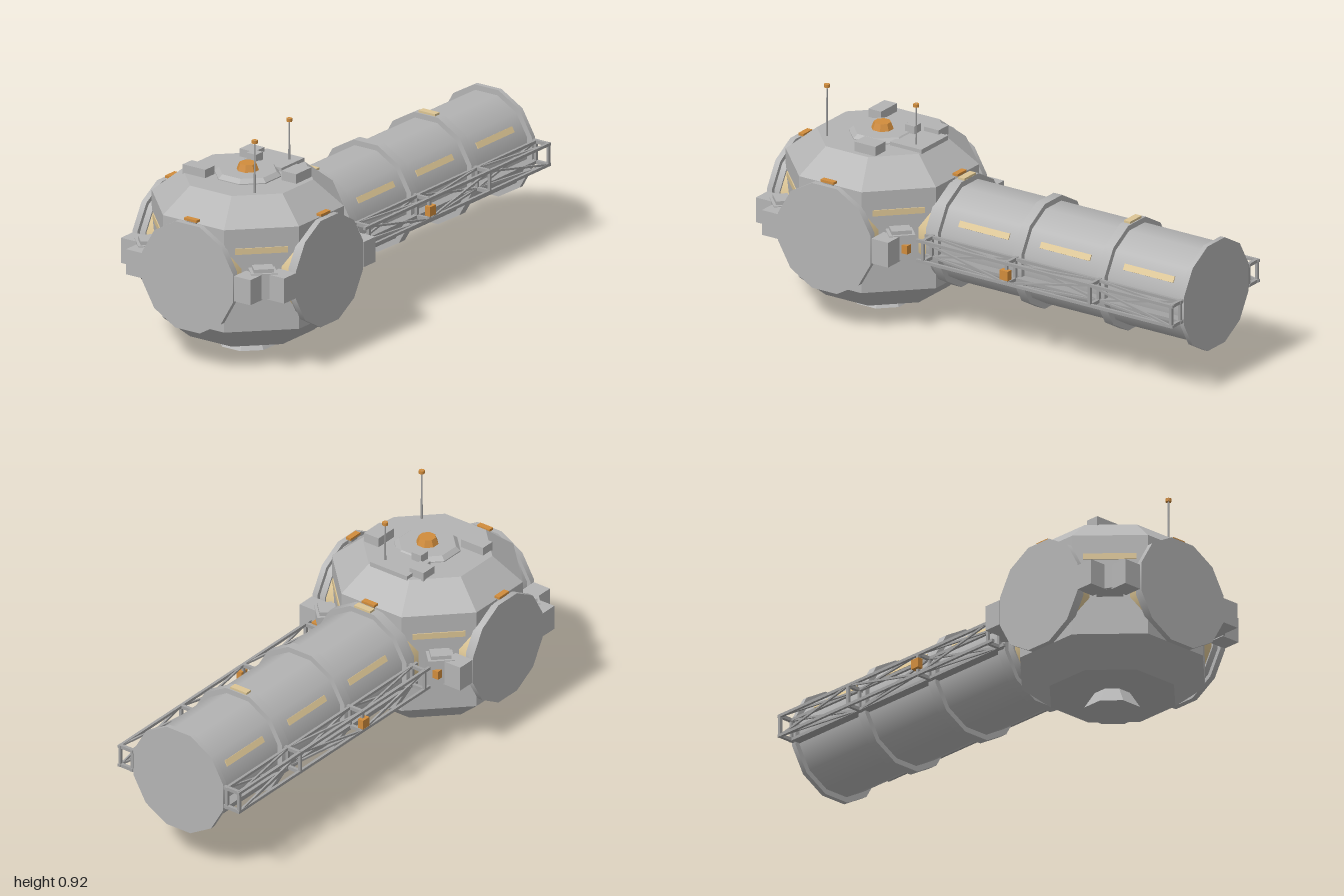
import * as THREE from 'three';

const paint = (name, hex) => {
  const m = new THREE.MeshStandardMaterial({ color: hex });
  m.name = name;
  return m;
};

export function createModel() {
  const hull = paint('hull grey', 0xb4b4b4);
  const trim = paint('trim grey', 0xa2a2a2);
  const amber = paint('amber', 0xd08c3c);
  const glow = paint('pale window', 0xdcc594);

  const model = new THREE.Group();
  model.name = 'stationModule';
  const AXIS = 0.383, HUB_Z = 0.6;

  const add = (name, geo, mat, x = 0, y = 0, z = 0, parent = model) => {
    const mesh = new THREE.Mesh(geo, mat);
    mesh.name = name;
    mesh.position.set(x, y, z);
    parent.add(mesh);
    return mesh;
  };
  const box = (name, mat, w, h, d, x, y, z, parent) =>
    add(name, new THREE.BoxGeometry(w, h, d), mat, x, y, z, parent);
  // box given by its lower and upper corners
  const span = (name, mat, a, b, parent) =>
    box(name, mat, b[0] - a[0], b[1] - a[1], b[2] - a[2],
      (a[0] + b[0]) / 2, (a[1] + b[1]) / 2, (a[2] + b[2]) / 2, parent);
  // faceted octagonal solid; profile radii are measured to the flats
  const octagon = (name, mat, profile, z = HUB_Z) => {
    const pts = profile.map(([r, y]) => new THREE.Vector2(r / Math.cos(Math.PI / 8), y));
    const geo = new THREE.LatheGeometry(pts, 8, Math.PI / 8).toNonIndexed();
    geo.computeVertexNormals();
    return add(name, geo, mat, 0, 0, z);
  };
  // twelve-sided drum lying along z, flats facing up and sideways
  const drum = (name, mat, r, z0, z1, parent, y = 0) => {
    const geo = new THREE.CylinderGeometry(r, r, Math.abs(z1 - z0), 12, 1, false, Math.PI / 12);
    geo.rotateX(Math.PI / 2);
    return add(name, geo, mat, 0, y, (z0 + z1) / 2, parent);
  };
  // square bar between two points
  const beam = (name, mat, a, b, t, parent) => {
    const p = new THREE.Vector3(...a), q = new THREE.Vector3(...b);
    const mesh = box(name, mat, t, t, p.distanceTo(q), 0, 0, 0, parent);
    mesh.position.copy(p).add(q).multiplyScalar(0.5);
    mesh.lookAt(q);
    return mesh;
  };

  // Hub, engine bell and roof
  octagon('hub', hull, [[0, 0.07], [0.245, 0.07], [0.36, 0.172], [0.36, 0.6], [0.245, 0.7], [0, 0.7]]);
  octagon('engineBell', hull, [[0, 0], [0.11, 0], [0.068, 0.072], [0, 0.072]]);
  octagon('roofPlatform', hull, [[0, 0.7], [0.125, 0.7], [0.125, 0.704], [0.108, 0.72], [0, 0.72]]);
  octagon('beacon', amber, [[0, 0.72], [0.042, 0.72], [0.032, 0.748], [0, 0.748]]);
  span('roofHatch', hull, [-0.093, 0.695, 0.35], [0.092, 0.715, 0.5]);
  span('roofBox', hull, [-0.215, 0.695, 0.68], [-0.105, 0.735, 0.74]);
  span('roofBox', hull, [0.15, 0.695, 0.48], [0.222, 0.74, 0.58]);
  span('roofBox', hull, [-0.147, 0.695, 0.385], [-0.078, 0.733, 0.455]);
  span('roofBox', hull, [-0.072, 0.7, 0.465], [-0.026, 0.748, 0.51]);

  // Antennas
  for (const [x, z, top] of [[0.055, 0.4, 0.887], [0.152, 0.76, 0.92]]) {
    add('antennaMast', new THREE.CylinderGeometry(0.003, 0.0045, top - 0.7, 6), trim, x, (top + 0.7) / 2, z);
    add('antennaTip', new THREE.CylinderGeometry(0.012, 0.012, 0.013, 8), amber, x, top - 0.0065, z);
  }

  // Docking ports on four sides; the back one carries the corridor
  for (let i = 0; i < 4; i++) {
    const port = new THREE.Group();
    port.name = 'dockingPort';
    port.position.set(0, AXIS, HUB_Z);
    port.rotation.y = i * Math.PI / 2;
    model.add(port);
    drum('portCollar', glow, 0.205, 0.26, 0.35, port);
    drum('portNeck', hull, 0.212, 0.35, 0.378, port);
    if (i !== 2) drum('portFlange', hull, 0.23, 0.376, 0.4, port);
    box('portMarker', amber, 0.062, 0.01, 0.024, 0, 0.233, 0.37, port);
    box('markerFoot', trim, 0.04, 0.03, 0.015, 0, 0.214, 0.37, port);
  }

  // Diagonal corners: window strip and equipment block
  for (let i = 0; i < 4; i++) {
    const corner = new THREE.Group();
    corner.name = 'hubCorner';
    corner.position.set(0, 0, HUB_Z);
    corner.rotation.y = Math.PI / 4 + i * Math.PI / 2;
    model.add(corner);
    box('cornerWindow', glow, 0.21, 0.025, 0.006, 0, 0.508, 0.361, corner);
    box('cornerBlock', hull, 0.105, 0.105, 0.09, 0, 0.386, 0.398, corner);
    box('cornerHatch', hull, 0.08, 0.016, 0.06, 0, 0.446, 0.402, corner);
  }

  // Corridor with ring frames
  drum('corridor', hull, 0.207, 0.25, -0.99, model, AXIS);
  for (const z of [0.2, -0.2, -0.6]) drum('corridorRing', hull, 0.23, z + 0.02, z - 0.02, model, AXIS);
  drum('endPlate', hull, 0.23, -0.98, -1, model, AXIS);
  for (const z of [0.195, -0.6]) box('ringMarker', glow, 0.08, 0.009, 0.03, 0, 0.61, z);

  // Mirrored parts: windows, thruster boxes and side trusses
  for (const s of [-1, 1]) {
    for (const z of [-0.01, -0.4, -0.8]) {
      const pane = box('corridorWindow', glow, 0.008, 0.026, 0.24,
        s * 0.2 * Math.cos(Math.PI / 6), AXIS + 0.1, z);
      pane.rotation.z = s * Math.PI / 6;
    }

    box('thrusterBox', hull, 0.08, 0.105, 0.08, s * 0.264, 0.382, 0.955);
    for (const z of [0.86, 0.335]) box('thrusterBox', hull, 0.085, 0.105, 0.08, s * 0.357, 0.382, z);
    box('sideLamp', amber, 0.03, 0.036, 0.036, s * 0.3, 0.382, 0.28);
    box('sideLamp', amber, 0.025, 0.04, 0.04, s * 0.303, 0.382, -0.2);

    const truss = new THREE.Group();
    truss.name = 'sideTruss';
    model.add(truss);
    const inner = s * 0.235, outer = s * 0.296, low = 0.342, high = 0.427;
    const nodes = [0.2, -0.2, -0.6, -0.99];
    for (const x of [inner, outer])
      for (const y of [low, high]) beam('trussRail', trim, [x, y, 0.23], [x, y, -1], 0.012, truss);
    box('trussTray', trim, 0.04, 0.012, 1.21, s * 0.218, low, -0.39, truss);
    nodes.forEach((z, i) => {
      for (const y of [low, high]) beam('trussBracket', trim, [s * 0.19, y, z], [outer, y, z], 0.014, truss);
      for (const x of [inner, outer]) beam('trussPost', trim, [x, low, z], [x, high, z], 0.012, truss);
      if (i === nodes.length - 1) return;
      // braces zigzag from bay to bay
      const next = nodes[i + 1];
      const [ya, yb] = i % 2 ? [low, high] : [high, low];
      const [xa, xb] = i % 2 ? [outer, inner] : [inner, outer];
      beam('trussBrace', trim, [outer, ya, z], [outer, yb, next], 0.008, truss);
      beam('trussBrace', trim, [inner, yb, z], [inner, ya, next], 0.008, truss);
      for (const y of [low, high]) beam('trussBrace', trim, [xa, y, z], [xb, y, next], 0.008, truss);
    });
  }
  return model;
}
